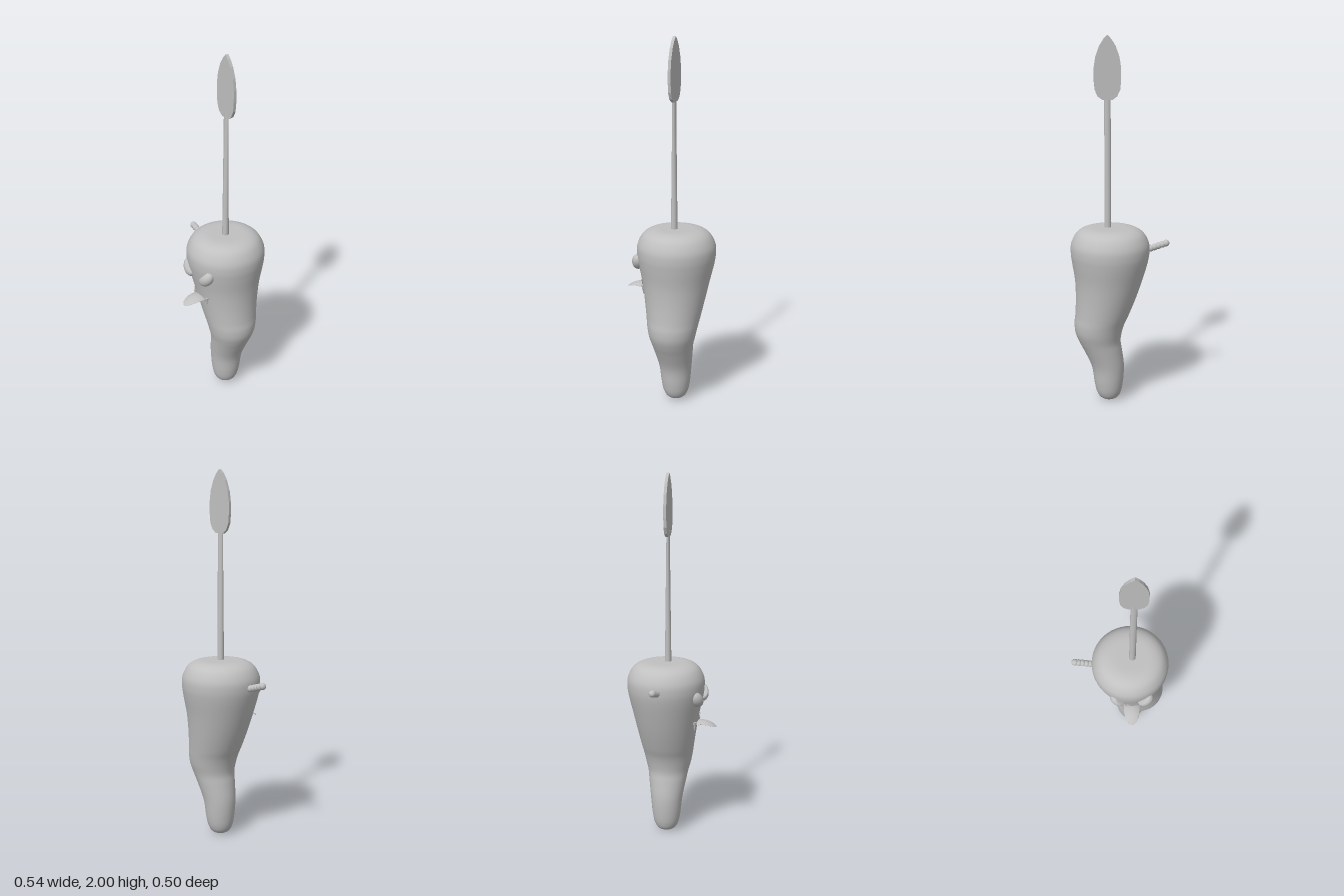
import * as THREE from 'three';

const grey = new THREE.MeshStandardMaterial({ color: 0xc0c0c0 });
grey.name = 'plain grey';
const greySheet = new THREE.MeshStandardMaterial({ color: 0xc0c0c0, side: THREE.DoubleSide });
greySheet.name = 'plain grey sheet';

const CZ = -0.037; // depth of the body axis

function add(parent, name, geometry, material = grey) {
  const mesh = new THREE.Mesh(geometry, material);
  mesh.name = name;
  parent.add(mesh);
  return mesh;
}

// Moves every vertex of a geometry by a rule
function warp(geometry, rule) {
  const p = geometry.attributes.position, v = new THREE.Vector3();
  for (let i = 0; i < p.count; i++) {
    rule(v.fromBufferAttribute(p, i));
    p.setXYZ(i, v.x, v.y, v.z);
  }
  geometry.computeVertexNormals();
  return geometry;
}

// Round loft; each section is [centre x, height, radius]
function loft(sections, rings, sides) {
  const curve = new THREE.CatmullRomCurve3(sections.map(s => new THREE.Vector3(...s)), false, 'centripetal');
  const pos = [], idx = [];
  for (let j = 0; j <= rings; j++) {
    const s = curve.getPoint(j / rings);
    for (let i = 0; i < sides; i++) {
      const a = (i / sides) * Math.PI * 2;
      pos.push(s.x + s.z * Math.cos(a), s.y, CZ - s.z * Math.sin(a));
      if (j === rings) continue;
      const n = (i + 1) % sides, k = j * sides, m = k + sides;
      idx.push(k + i, k + n, m + n, k + i, m + n, m + i);
    }
  }
  const g = new THREE.BufferGeometry();
  g.setAttribute('position', new THREE.Float32BufferAttribute(pos, 3));
  g.setIndex(idx);
  g.computeVertexNormals();
  return g;
}

export function createModel() {
  const model = new THREE.Group();
  model.name = 'pepperCreature';

  // Curving tapered body
  add(model, 'body', loft([
    [0.062, 0.003, 0], [0.062, 0.008, 0.03], [0.062, 0.022, 0.052], [0.063, 0.05, 0.067],
    [0.064, 0.1, 0.078], [0.069, 0.2, 0.089], [0.097, 0.3, 0.105], [0.113, 0.35, 0.114],
    [0.119, 0.4, 0.127], [0.114, 0.45, 0.137], [0.1, 0.5, 0.146], [0.078, 0.6, 0.164],
    [0.063, 0.7, 0.183], [0.056, 0.8, 0.205], [0.055, 0.85, 0.212], [0.055, 0.9, 0.209],
    [0.056, 0.95, 0.184], [0.058, 0.973, 0.155], [0.06, 0.985, 0.115], [0.064, 0.987, 0.05],
    [0.064, 0.987, 0],
  ], 100, 48), grey);

  // Stem, flattening towards the leaf
  const stem = warp(new THREE.CylinderGeometry(0.017, 0.018, 0.74, 20, 4), v => {
    v.z *= 0.75 - 0.7 * v.y;
  });
  add(model, 'stem', stem).position.set(0.066, 1.33, -0.028);

  // Pointed flat leaf
  const half = [[0.025, 1.667], [0.05, 1.685], [0.066, 1.72], [0.071, 1.77], [0.071, 1.83],
    [0.062, 1.89], [0.042, 1.945], [0.02, 1.98]];
  const outline = [...half, [0, 2], ...half.map(([x, y]) => [-x, y]).reverse()];
  const leaf = new THREE.ExtrudeGeometry(
    new THREE.Shape(outline.map(([x, y]) => new THREE.Vector2(x, y))),
    { depth: 0.016, bevelEnabled: false });
  add(model, 'leaf', leaf).position.set(0.066, 0, -0.037);

  // Slanted angry eyes, flattened along the brow
  for (const side of [-1, 1]) {
    const eye = warp(new THREE.SphereGeometry(1, 32, 20), v => {
      v.y = Math.min(v.y, 0.55 + 0.1 * v.y);
      v.multiply(new THREE.Vector3(0.052, 0.036, 0.034));
    });
    const mesh = add(model, side < 0 ? 'rightEye' : 'leftEye', eye);
    mesh.position.set(0.063 + side * 0.077, 0.803, 0.15);
    mesh.rotation.set(0, side * 0.35, side * 0.85, 'YXZ');
  }

  // Mouth patch following the curve of the body
  const mouth = warp(new THREE.PlaneGeometry(1, 1, 12, 4), v => {
    const x = v.x * (0.118 - 0.025 * v.y);
    const y = 0.665 + v.y * 0.055;
    const r = 0.164 + (y - 0.6) * 0.19;
    v.set(0.066 + x, y, CZ + 0.005 + Math.sqrt(r * r - x * x));
  });
  add(model, 'mouth', mouth, greySheet);

  // Fangs at the mouth corners
  for (const side of [-1, 1]) {
    const fang = add(model, side < 0 ? 'rightFang' : 'leftFang', new THREE.ConeGeometry(0.012, 0.055, 12));
    fang.position.set(0.066 + side * 0.051, 0.637, 0.132);
    fang.rotation.x = Math.PI;
  }

  // Drooping tongue
  const tongue = warp(new THREE.SphereGeometry(1, 32, 24), v => {
    const z = 0.15 + v.z * 0.096;
    v.set(0.066 + v.x * 0.046, 0.659 + v.y * 0.005 - 4 * (z - 0.16) ** 2 - 4 * (v.x * 0.046) ** 2, z);
  });
  add(model, 'tongue', tongue);

  // Beaded twig on the right side
  const twig = new THREE.Group();
  twig.name = 'twig';
  for (let i = 0; i < 6; i++) {
    const bead = add(twig, 'twigBead', new THREE.SphereGeometry(0.0185, 20, 14));
    bead.position.set(-0.25 + i * 0.021, 0.888 - i * 0.0063, CZ);
  }
  model.add(twig);

  return model;
}
